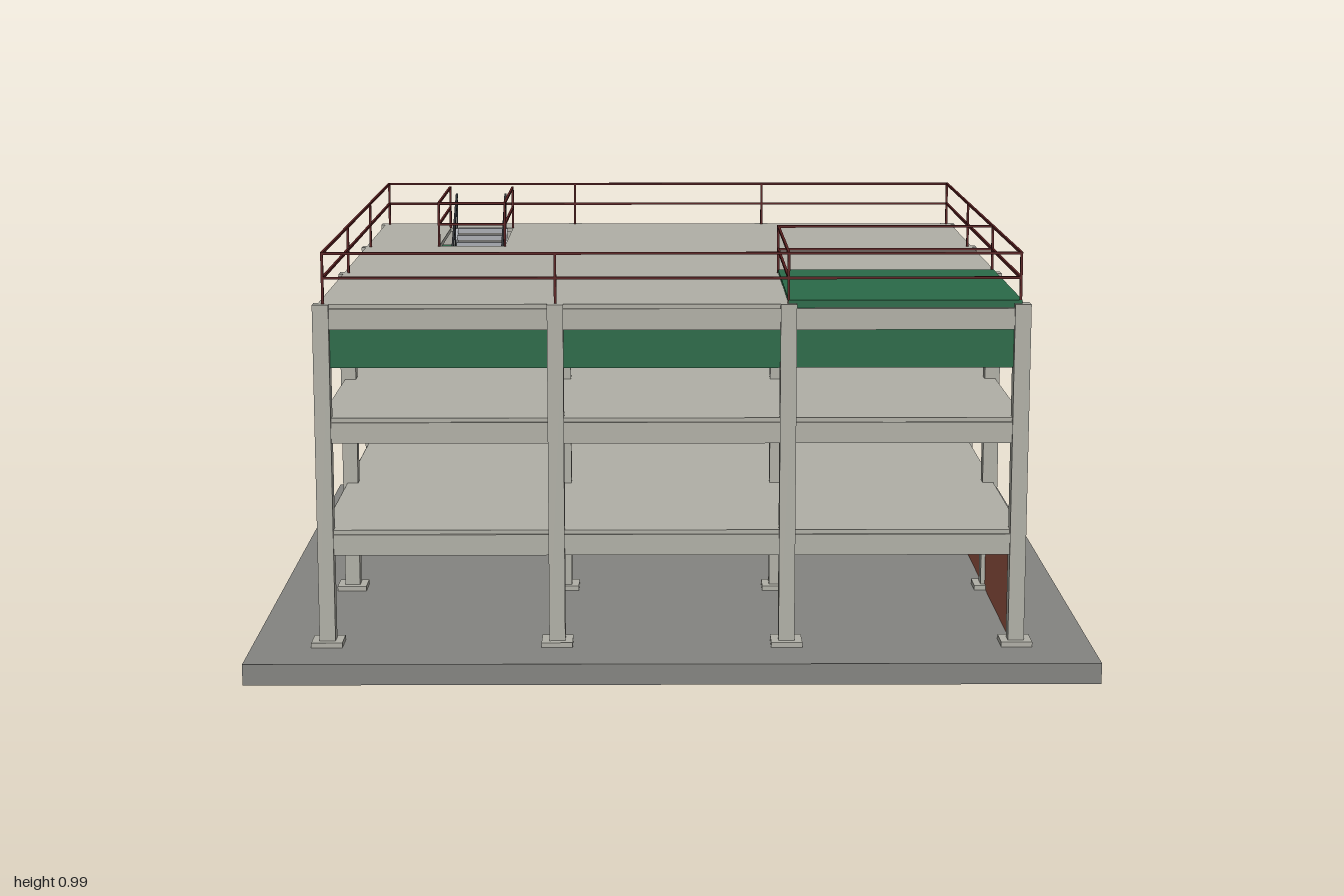
import * as THREE from 'three';

const mat = (color) => new THREE.MeshStandardMaterial({ color });
const concrete = mat(0xb0afa6);
const ground = mat(0x848480);
const brick = mat(0x9e5846);
const green = mat(0x2a6a48);
const railRed = mat(0x5a2020);
const steel = mat(0x24272b);
const tread = mat(0xa9adb2);

const GRID = [-0.82, -0.273, 0.273, 0.82];
const BASE = 0.05;
const FLOORS = [0.33, 0.6, 0.87];
const HOLE = { x0: -0.63, x1: -0.45, z0: -0.715, z1: -0.285 };

export function createModel() {
  const model = new THREE.Group();

  const group = (name, parent = model) => {
    const g = new THREE.Group();
    g.name = name;
    parent.add(g);
    return g;
  };
  const box = (parent, name, m, w, h, d, x, y, z) => {
    const mesh = new THREE.Mesh(new THREE.BoxGeometry(w, h, d), m);
    mesh.name = name;
    mesh.position.set(x, y, z);
    parent.add(mesh);
    return mesh;
  };
  // square bar between two points
  const bar = (parent, name, m, a, b, t) => {
    const p = new THREE.Vector3(...a), q = new THREE.Vector3(...b);
    const mesh = box(parent, name, m, t, t, p.distanceTo(q), 0, 0, 0);
    mesh.position.copy(p).lerp(q, 0.5);
    mesh.lookAt(q);
    return mesh;
  };

  // ground plate
  box(model, 'groundSlab', ground, 2, BASE, 2, 0, BASE / 2, 0);

  // columns on footings
  const columns = group('columns');
  for (const x of GRID) for (const z of GRID) {
    box(columns, 'footing', concrete, 0.074, 0.012, 0.074, x, BASE + 0.006, z);
    box(columns, 'column', concrete, 0.038, 0.87 - BASE, 0.038, x, (0.87 + BASE) / 2, z);
  }

  // beams and floor slabs; the slabs are open at the stairs
  const e = 0.828, c = 0.273;
  FLOORS.forEach((top, i) => {
    const floor = group(['firstFloor', 'secondFloor', 'roof'][i]);
    for (const g of GRID) {
      box(floor, 'beam', concrete, 1.64, 0.05, 0.028, 0, top - 0.035, g);
      box(floor, 'beam', concrete, 0.028, 0.05, 1.64, g, top - 0.035, 0);
    }
    const outline = i === 2
      ? [[-e, -e], [e, -e], [e, c], [c, c], [c, e], [-e, e]]
      : [[-e, -e], [e, -e], [e, e], [-e, e]];
    const shape = new THREE.Shape(outline.map((p) => new THREE.Vector2(...p)));
    const { x0, x1, z0, z1 } = HOLE;
    shape.holes.push(new THREE.Path(
      [[x0, z0], [x0, z1], [x1, z1], [x1, z0]].map((p) => new THREE.Vector2(...p))));
    const geo = new THREE.ExtrudeGeometry(shape, { depth: 0.012, bevelEnabled: false });
    geo.rotateX(Math.PI / 2);
    const slab = new THREE.Mesh(geo, concrete);
    slab.name = 'slab';
    slab.position.y = top;
    floor.add(slab);
  });

  // green roof sheet over the corner bay
  box(model, 'cornerRoofSheet', green, 0.547, 0.018, 0.547, 0.5465, 0.869, 0.5465);

  // panels between the columns: sunshades all round, brick on two sides
  const shades = group('sunshades'), walls = group('brickWalls');
  for (let i = 0; i < 3; i++) {
    const mid = (GRID[i] + GRID[i + 1]) / 2, w = 0.509;
    for (const s of [-1, 1]) {
      box(shades, 'sunshade', green, w, 0.095, 0.008, mid, 0.766, s * 0.82);
      box(shades, 'sunshade', green, 0.008, 0.095, w, s * 0.82, 0.766, mid);
    }
    if (i > 0) {
      box(walls, 'backWall', brick, w, 0.22, 0.016, mid, 0.16, -0.82);
      box(walls, 'sideWall', brick, 0.016, 0.22, w, 0.82, 0.16, mid);
    }
  }

  // stacked stair flights rising toward the back
  const stairs = group('stairs');
  const steps = 16, zStart = -0.295, run = 0.405, xs = [-0.61, -0.47];
  [BASE, ...FLOORS.slice(0, 2)].forEach((y0, i) => {
    const flight = group('flight', stairs);
    const rise = FLOORS[i] - y0;
    const yAt = (t) => y0 + t * rise;
    const zAt = (t) => zStart - t * run;
    for (let k = 0; k < steps; k++) {
      const t = (k + 0.5) / steps;
      box(flight, 'step', tread, 0.134, 0.014, run / steps + 0.004,
        -0.54, yAt((k + 1) / steps) - 0.004, zAt(t));
    }
    for (const x of xs) {
      bar(flight, 'stringer', tread, [x, yAt(0) + 0.004, zAt(0.02)], [x, yAt(1) - 0.004, zAt(1)], 0.01);
      bar(flight, 'handrail', steel, [x, yAt(0) + 0.1, zAt(0)], [x, yAt(1) + 0.1, zAt(1)], 0.006);
      box(flight, 'newelPost', steel, 0.009, 0.1, 0.009, x, y0 + 0.05, zAt(0.01));
      for (let k = 1; k <= 5; k++) {
        const t = k / 5;
        box(flight, 'baluster', steel, 0.004, 0.1, 0.004, x, yAt(t) + 0.05, zAt(t));
      }
    }
  });

  // roof railings: posts with a top and a middle rail
  const railing = (name, path, posts) => {
    const g = group(name);
    for (let i = 0; i + 1 < path.length; i++) for (const y of [0.93, 0.988]) {
      bar(g, 'rail', railRed, [path[i][0], y, path[i][1]], [path[i + 1][0], y, path[i + 1][1]], 0.006);
    }
    for (const [x, z] of posts) box(g, 'post', railRed, 0.006, 0.121, 0.006, x, 0.9305, z);
  };
  const r = 0.816;
  const edge = [];
  for (const s of [-r, r]) {
    edge.push([s, -r], [s, r]);
    for (const g of [-0.273, 0.273]) edge.push([s, g], [g, s]);
  }
  railing('roofRailing', [[-r, -r], [r, -r], [r, r], [-r, r], [-r, -r]], edge);
  railing('cornerBayRailing', [[c, r], [c, c], [r, c]], [[c, c]]);
  const { x0, x1, z0, z1 } = HOLE;
  const around = [[x0, z0], [x0, z1], [x1, z1], [x1, z0]];
  railing('stairOpeningRailing', around, around);

  return model;
}
